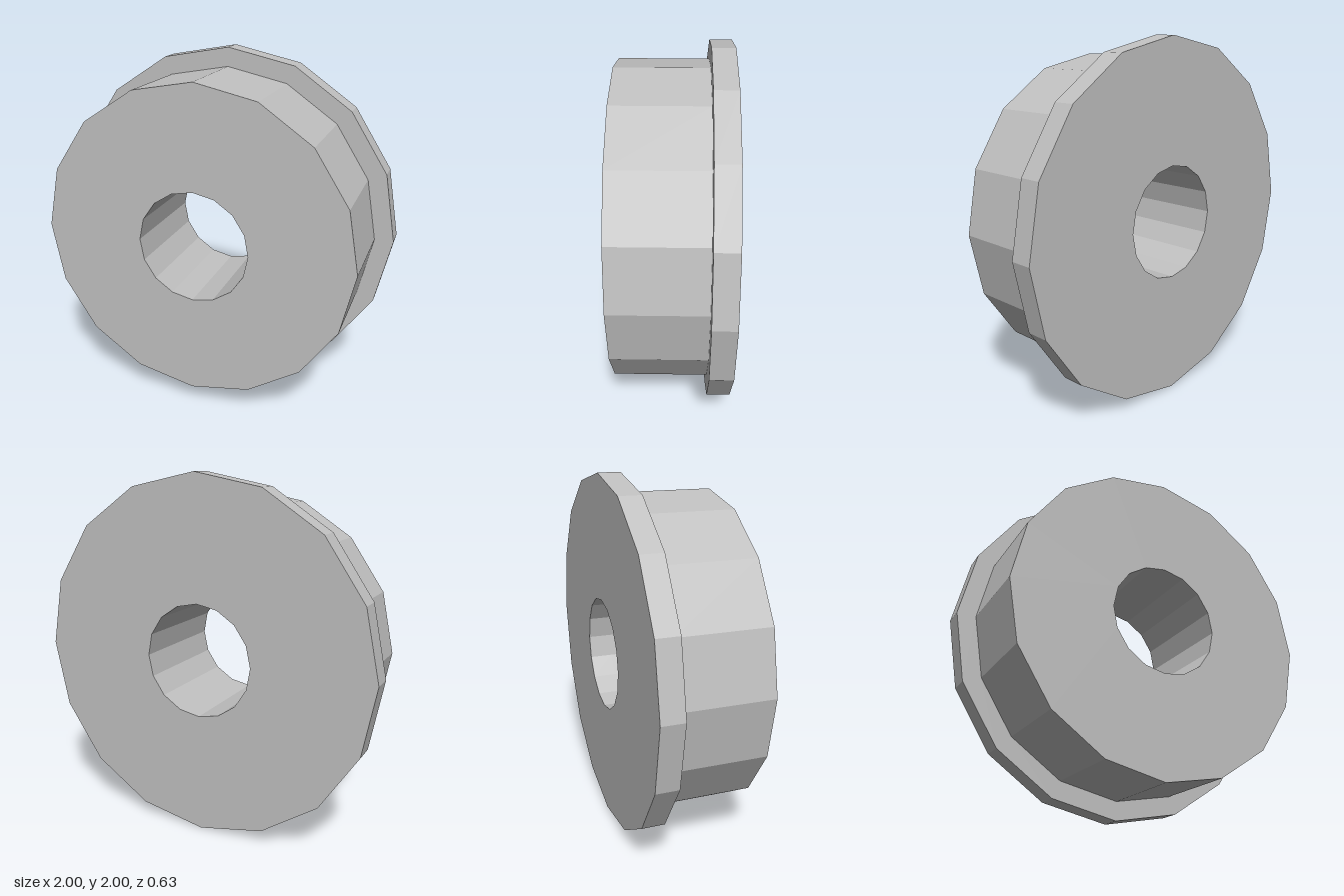
import * as THREE from 'three';

const SIDES = 16;
const BORE = 0.317, BODY = 0.895, FLANGE = 1;
const FRONT = 0.315, STEP = -0.19, BACK = -0.315;

export function createModel() {
  const group = new THREE.Group();
  group.name = 'flangedWheel';
  const grey = new THREE.MeshStandardMaterial({ color: 0xc0c0c0, flatShading: true });
  grey.name = 'grey';

  // Revolve a [radius, z] profile around the z axis
  const addRing = (name, profile) => {
    const geometry = new THREE.LatheGeometry(profile.map(([r, z]) => new THREE.Vector2(r, z)), SIDES);
    geometry.rotateX(Math.PI / 2).rotateZ(-0.012);
    const mesh = new THREE.Mesh(geometry, grey);
    mesh.name = name;
    mesh.position.y = 1;
    group.add(mesh);
  };

  // Tread: outer wall, front face and front part of the bore
  addRing('tread', [[BODY, STEP], [BODY, FRONT], [BORE, FRONT], [BORE, STEP]]);
  // Flange: rear part of the bore, back face, rim and front step
  addRing('flange', [[BORE, STEP], [BORE, BACK], [FLANGE, BACK], [FLANGE, STEP], [BODY, STEP]]);

  return group;
}
